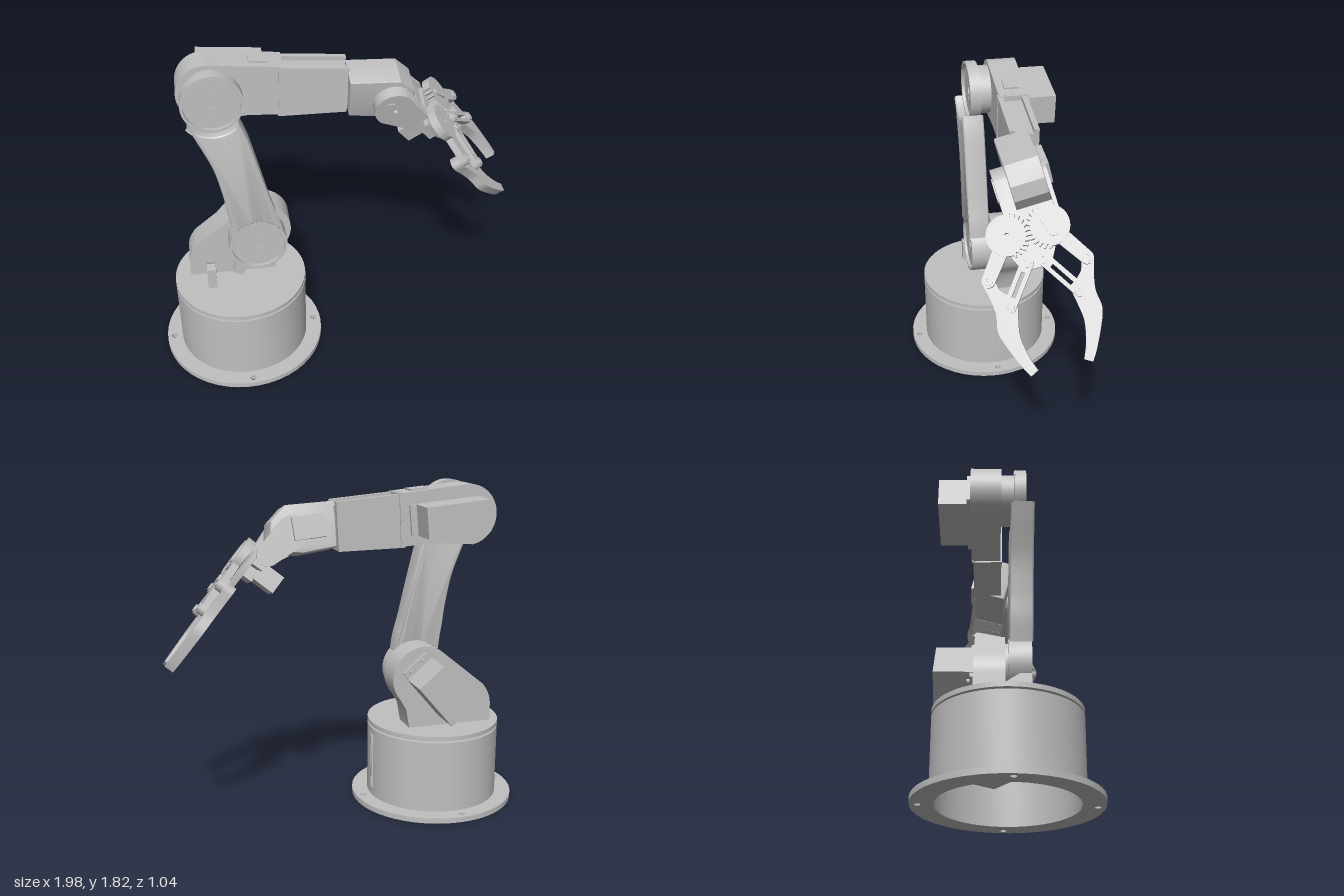
import * as THREE from 'three';
import { toCreasedNormals } from 'three/addons/utils/BufferGeometryUtils.js';

const V = (x, y) => new THREE.Vector2(x, y);

export function createModel() {
  const root = new THREE.Group();
  root.name = 'robotArm';
  const grey = new THREE.MeshStandardMaterial({ color: 0xc0c0c0 });
  grey.name = 'plain grey';

  const group = (name, parent, x = 0, y = 0, z = 0, yaw = 0) => {
    const g = new THREE.Group();
    g.name = name;
    g.position.set(x, y, z);
    g.rotation.y = yaw;
    parent.add(g);
    return g;
  };
  const add = (name, parent, geo, x = 0, y = 0, z = 0, rz = 0) => {
    const m = new THREE.Mesh(geo, grey);
    m.name = name;
    m.position.set(x, y, z);
    m.rotation.z = rz;
    parent.add(m);
    return m;
  };
  const box = (name, parent, w, h, d, x, y, z, rz) => add(name, parent, new THREE.BoxGeometry(w, h, d), x, y, z, rz);
  // cylinder along z from z0 to z1
  const disc = (name, parent, r, x, y, z0, z1, seg = 40) =>
    add(name, parent, new THREE.CylinderGeometry(r, r, z1 - z0, seg).rotateX(Math.PI / 2), x, y, (z0 + z1) / 2);
  // outline in xy, filled from z0 to z1
  const slab = (name, parent, shape, z0, z1, bevel = 0) => {
    const geo = new THREE.ExtrudeGeometry(shape, {
      depth: z1 - z0 - 2 * bevel, curveSegments: 24, bevelEnabled: bevel > 0,
      bevelSize: bevel, bevelThickness: bevel, bevelOffset: -bevel, bevelSegments: 3,
    });
    return add(name, parent, toCreasedNormals(geo, 0.5), 0, 0, z0 + bevel);
  };
  const poly = (pts) => new THREE.Shape(pts.map(([x, y]) => V(x, y)));
  const hole = (shape, x, y, r) => {
    shape.holes.push(new THREE.Path().absarc(x, y, r, 0, Math.PI * 2, true));
    return shape;
  };
  const ring = (r, ri) => hole(new THREE.Shape().absarc(0, 0, r, 0, Math.PI * 2), 0, 0, ri);
  // rounded bar between two points
  const capsule = (x0, y0, x1, y1, r0, r1 = r0) => {
    const t = Math.atan2(y1 - y0, x1 - x0), q = Math.PI / 2;
    return new THREE.Shape().absarc(x0, y0, r0, t + q, t + 3 * q).absarc(x1, y1, r1, t - q, t + q);
  };

  // ---- Base: hollow drum on a drilled flange ----
  const base = group('base', root, -0.535, 0, 0.047);
  const flange = ring(0.465, 0.35);
  for (let i = 0; i < 4; i++) {
    const a = 1.77 + i * Math.PI / 2;
    hole(flange, Math.cos(a) * 0.425, Math.sin(a) * 0.425, 0.017);
  }
  const flangeMesh = slab('baseFlange', base, flange, 0, 0.03);
  flangeMesh.rotation.x = -Math.PI / 2;
  const drum = [[0.35, 0.001], [0.375, 0.001], [0.375, 0.435], [0, 0.435], [0, 0.4], [0.35, 0.4], [0.35, 0.001]];
  add('baseDrum', base, toCreasedNormals(new THREE.LatheGeometry(drum.map(([x, y]) => V(x, y)), 72), 0.5));
  add('turntableSpindle', base, new THREE.CylinderGeometry(0.08, 0.08, 0.02, 32), 0, 0.442, 0);
  add('turntable', base, new THREE.CylinderGeometry(0.375, 0.375, 0.025, 72), 0, 0.458, 0);
  box('waistServo', base, 0.32, 0.24, 0.17, 0.05, 0.28, -0.05).rotation.y = Math.PI / 4;
  for (const z of [-0.06, -0.095]) box('cableSlotRib', base, 0.012, 0.32, 0.006, 0.366, 0.24, z);
  box('cableSocket', base, 0.016, 0.06, 0.035, 0.366, 0.36, -0.075);

  // ---- Turning upper body ----
  const waist = group('waist', root, -0.535, 0, 0.045, 0.16);

  // shoulder bracket with a rounded head
  const bracket = new THREE.Shape();
  bracket.moveTo(0.205, 0.47);
  bracket.lineTo(0.225, 0.58);
  bracket.absarc(0.125, 0.755, 0.178, -0.7, 2.3, false);
  bracket.lineTo(-0.235, 0.69);
  bracket.quadraticCurveTo(-0.285, 0.63, -0.285, 0.56);
  bracket.lineTo(-0.285, 0.47);
  slab('shoulderBracket', waist, bracket, -0.168, -0.015);
  disc('shoulderHub', waist, 0.14, 0.12, 0.755, -0.05, 0.03);
  box('shoulderServo', waist, 0.3, 0.18, 0.2, 0.06, 0.7, -0.268, 0.87);
  box('shoulderServoFlange', waist, 0.39, 0.17, 0.02, 0.06, 0.7, -0.178, 0.87);
  for (const s of [-1, 1]) for (const t of [-1, 1]) {
    const a = 0.87, p = s * 0.17, q = t * 0.045;
    disc('shoulderScrew', waist, 0.014, 0.06 + p * Math.cos(a) - q * Math.sin(a), 0.7 + p * Math.sin(a) + q * Math.cos(a), -0.203, -0.178, 16);
  }

  // cable clip beside the bracket
  const clip = poly([[-0.06, 0.47], [0.06, 0.47], [0.06, 0.6], [0, 0.6], [-0.06, 0.56]]);
  clip.holes.push(new THREE.Path([V(-0.03, 0.5), V(-0.03, 0.53), V(0.03, 0.53), V(0.03, 0.5)]));
  const clipMesh = slab('cableClip', waist, clip, -0.025, 0.025);
  clipMesh.rotation.y = -Math.PI / 2;
  clipMesh.position.set(-0.14, 0, 0.055);

  // ---- Upper arm: thick waisted body between two recessed caps ----
  const upper = group('upperArm', root, -0.5, 0, 0.095, 0.19);
  const left = [[-0.215, 1.5], [-0.135, 1.3], [-0.095, 1.12], [-0.075, 0.98]];
  const right = [[0.06, 1.45], [0.11, 1.25], [0.155, 1.06], [0.185, 0.95]];
  const body = new THREE.Shape();
  body.absarc(-0.11, 1.664, 0.163, 3.75, 5.6, false);
  body.splineThru([...right, [0.2, 0.858]].map(([x, y]) => V(x, y)));
  body.absarc(0.08, 0.752, 0.163, 0.75, 2.45, false);
  body.splineThru([...left.reverse(), [-0.244, 1.571]].map(([x, y]) => V(x, y)));
  slab('upperArmBody', upper, body, -0.05, 0.073, 0.015);
  for (const [name, x, y, back, face, rim] of [['elbow', -0.11, 1.662, -0.035, 0.012, 0.028], ['shoulder', 0.08, 0.752, -0.055, 0.05, 0.064]]) {
    disc(name + 'Cap', upper, 0.158, x, y, back, face - 0.006, 56);
    const plate = hole(ring(0.138, 0.026), 0.02, 0.055, 0.011);
    hole(plate, -0.02, -0.055, 0.011);
    slab(name + 'Face', upper, plate, face - 0.006, face).position.set(x, y, face - 0.006);
    slab(name + 'Rim', upper, ring(0.162, 0.148), back + 0.005, rim).position.set(x, y, back + 0.005);
  }
  box('armStop', upper, 0.06, 0.07, 0.06, -0.03, 0.58, 0.015, -0.4);
  disc('elbowHub', upper, 0.135, -0.11, 1.66, -0.13, -0.03);

  // ---- Forearm ----
  const rear = new THREE.Shape();
  rear.moveTo(0.27, 1.5);
  rear.lineTo(0.28, 1.78);
  rear.lineTo(0.08, 1.8);
  rear.absarc(-0.1, 1.655, 0.163, 1.35, -1.75, false);
  rear.lineTo(0.1, 1.51);
  slab('forearmRear', waist, rear, -0.2, -0.04);
  const side = poly([[0.265, 1.492], [0.62, 1.487], [0.635, 1.745], [0.28, 1.775]]);
  slab('forearmSideFront', waist, side, -0.062, -0.034);
  slab('forearmSideBack', waist, side, -0.19, -0.162);
  slab('forearmCore', waist, poly([[0.265, 1.492], [0.62, 1.487], [0.634, 1.72], [0.28, 1.75]]), -0.165, -0.06);
  box('forearmBand', waist, 0.022, 0.285, 0.168, 0.275, 1.636, -0.115, -0.05);
  box('forearmTopPlate', waist, 0.1, 0.02, 0.08, 0.17, 1.79, -0.12, -0.09);
  box('elbowServo', waist, 0.35, 0.165, 0.17, 0.025, 1.655, -0.285, -0.09);
  box('elbowServoFlange', waist, 0.42, 0.16, 0.02, 0.025, 1.655, -0.21, -0.09);

  // ---- Wrist, rolled about the forearm ----
  const wrist = group('wrist', waist, 0.86, 1.57, -0.06);
  wrist.rotation.x = 0.25;
  slab('wristBlock', wrist, poly([[-0.235, 0.155], [0.03, 0.14], [0.11, 0.06], [0.12, -0.02],
    [0.07, -0.1], [-0.05, -0.11], [-0.23, -0.085]]), -0.11, 0.07, 0.008);
  box('wristServo', wrist, 0.17, 0.12, 0.05, -0.08, 0.02, -0.125, -0.1);
  slab('wristCheekFront', wrist, hole(capsule(0, 0, 0.14, -0.11, 0.108, 0.06), 0, 0, 0.02), 0.07, 0.138);
  slab('wristCheekBack', wrist, capsule(0, 0, 0.14, -0.11, 0.085, 0.06), -0.13, -0.11);
  slab('wristHorn', wrist, hole(capsule(-0.025, 0.03, 0.025, -0.03, 0.026), 0, 0, 0.012), 0.13, 0.144);
  box('wristYoke', wrist, 0.06, 0.13, 0.25, 0.16, -0.12, 0, 0.67);

  // ---- Gripper: x along the fingers, y across, z out of its face ----
  const grip = group('gripper', root, 0.592, 1.478, -0.17);
  const n = new THREE.Vector3(0.784, 0.618, 0.076).normalize();
  const d = new THREE.Vector3(0.616, -0.753, -0.233);
  d.addScaledVector(n, -d.dot(n)).normalize();
  grip.quaternion.setFromRotationMatrix(new THREE.Matrix4().makeBasis(d, n.clone().cross(d), n));
  box('gripperMount', grip, 0.14, 0.2, 0.06, 0, 0, -0.125);
  slab('gripperPlate', grip, poly([[-0.07, -0.14], [0.04, -0.14], [0.18, -0.07], [0.18, 0.07],
    [0.04, 0.14], [-0.07, 0.14]]), -0.1, -0.075);
  box('gripperServo', grip, 0.1, 0.17, 0.13, 0.005, 0.04, -0.21);

  for (const s of [-1, 1]) {
    const finger = group(s > 0 ? 'fingerRight' : 'fingerLeft', grip);
    // gear, toothed only where it meets its partner
    const teeth = 26, pts = [];
    for (let i = 0; i < teeth * 4; i++) {
      const a = ((i + (s > 0 ? 0.5 : 2.5)) / 4) * (Math.PI * 2 / teeth);
      const inward = -s * Math.sin(a) > 0.1;
      const r = inward ? (i % 4 < 2 ? 0.112 : 0.092) : 0.1;
      pts.push([Math.cos(a) * r, s * 0.104 + Math.sin(a) * r]);
    }
    slab('gear', finger, hole(poly(pts), 0, s * 0.104, 0.012), -0.055, -0.012);
    if (s > 0) slab('servoHorn', finger, capsule(-0.035, 0.09, 0.035, 0.118, 0.022), -0.012, -0.004);
    slab('driveLink', finger, capsule(0.03, s * 0.125, 0.19, s * 0.24, 0.038, 0.033), -0.055, -0.018);
    // guide link with a long slot
    const guide = capsule(0.148, s * 0.04, 0.335, s * 0.172, 0.031);
    const u = V(0.82, s * 0.572), v = V(-s * 0.572, 0.82).multiplyScalar(0.01);
    const at = (t, k) => V(0.148, s * 0.04).addScaledVector(u, t).addScaledVector(v, k);
    guide.holes.push(new THREE.Path([at(0.05, 1), at(0.18, 1), at(0.18, -1), at(0.05, -1)]));
    slab('guideLink', finger, guide, -0.055, -0.02);
    for (const [x, y] of [[0.19, 0.24], [0.148, 0.04], [0.335, 0.172]]) {
      slab('pivotRing', finger, ring(0.023, 0.01), -0.09, -0.01).position.set(x, s * y, -0.09);
    }
    // curved jaw
    const jaw = new THREE.Shape();
    jaw.moveTo(0.165, s * 0.215);
    jaw.splineThru([[0.16, 0.25], [0.19, 0.273], [0.27, 0.255], [0.35, 0.244], [0.44, 0.254], [0.53, 0.224], [0.625, 0.18], [0.675, 0.15]].map(([x, y]) => V(x, s * y)));
    jaw.lineTo(0.655, s * 0.112);
    jaw.splineThru([[0.585, 0.138], [0.48, 0.157], [0.39, 0.145], [0.33, 0.135], [0.29, 0.155], [0.24, 0.2], [0.165, 0.215]].map(([x, y]) => V(x, s * y)));
    slab('jaw', finger, jaw, -0.105, -0.053);
  }
  return root;
}
